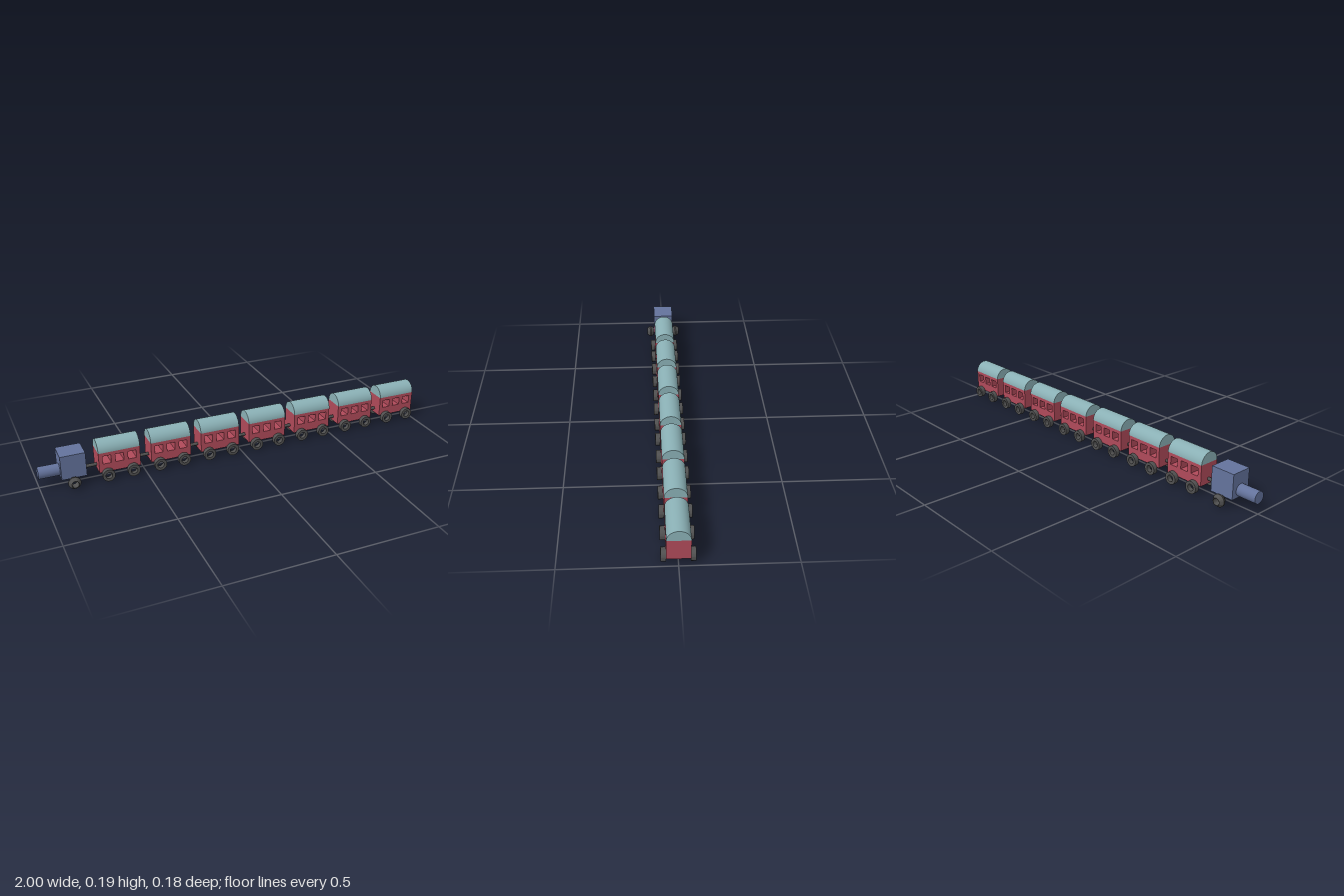
import * as THREE from 'three';
import { toCreasedNormals } from 'three/addons/utils/BufferGeometryUtils.js';

const paint = (color) => new THREE.MeshStandardMaterial({ color });
const red = paint(0xb04a5a);
const teal = paint(0x8ab0b5);
const blue = paint(0x64739c);
const dark = paint(0x505050);

function add(parent, name, geometry, material, x = 0, y = 0, z = 0) {
  const mesh = new THREE.Mesh(geometry, material);
  mesh.name = name;
  mesh.position.set(x, y, z);
  parent.add(mesh);
  return mesh;
}

// Ring turned from a closed [radius, depth] outline, axis along z
function ring(outline) {
  const points = [...outline, outline[0]].map(([r, d]) => new THREE.Vector2(r, d));
  return toCreasedNormals(new THREE.LatheGeometry(points, 32).rotateX(Math.PI / 2), 0.5);
}

// Carriage side with three window openings, extruded across the width
function carriageBody() {
  const shape = new THREE.Shape([[-0.1, 0.041], [0.1, 0.041], [0.1, 0.142], [-0.1, 0.142]]
    .map(([x, y]) => new THREE.Vector2(x, y)));
  for (const x of [-0.061, 0, 0.061]) {
    shape.holes.push(new THREE.Path([[-0.02, 0.085], [-0.02, 0.125], [0.02, 0.125], [0.02, 0.085]]
      .map(([dx, y]) => new THREE.Vector2(x + dx, y))));
  }
  return new THREE.ExtrudeGeometry(shape, { depth: 0.102, bevelEnabled: false }).translate(0, 0, -0.051);
}

export function createModel() {
  const train = new THREE.Group();
  train.name = 'train';

  // Locomotive
  const engine = new THREE.Group();
  engine.name = 'locomotive';
  train.add(engine);
  add(engine, 'cab', new THREE.BoxGeometry(0.118, 0.12, 0.104), blue, -0.842, 0.104);
  const boiler = new THREE.CylinderGeometry(0.029, 0.029, 0.1, 32).rotateZ(Math.PI / 2);
  add(engine, 'boiler', boiler, blue, -0.95, 0.077);
  const engineWheel = ring([[0.016, -0.02], [0.018, -0.02], [0.03, -0.003],
    [0.03, 0.003], [0.018, 0.02], [0.016, 0.02]]);
  for (const side of [-1, 1]) {
    add(engine, 'engineWheel', engineWheel, dark, -0.848, 0.03, side * 0.072);
  }

  // Carriages
  const body = carriageBody();
  const roof = new THREE.CylinderGeometry(0.051, 0.051, 0.2, 32, 1, false, 0, Math.PI).rotateZ(Math.PI / 2);
  const wheel = ring([[0.016, -0.011], [0.03, -0.011], [0.03, 0.011], [0.016, 0.011]]);
  const rod = new THREE.CylinderGeometry(0.008, 0.008, 0.06, 16).rotateZ(Math.PI / 2);
  for (let i = 0; i < 7; i++) {
    const carriage = new THREE.Group();
    carriage.name = 'carriage';
    carriage.position.x = 0.9 - 0.254 * i;
    train.add(carriage);
    add(carriage, 'body', body, red);
    add(carriage, 'roof', roof, teal, 0, 0.142);
    add(carriage, 'coupling', rod, dark, -0.128, 0.064);
    for (const x of [-0.061, 0.061]) {
      for (const side of [-1, 1]) add(carriage, 'wheel', wheel, dark, x, 0.03, side * 0.062);
    }
  }
  return train;
}
